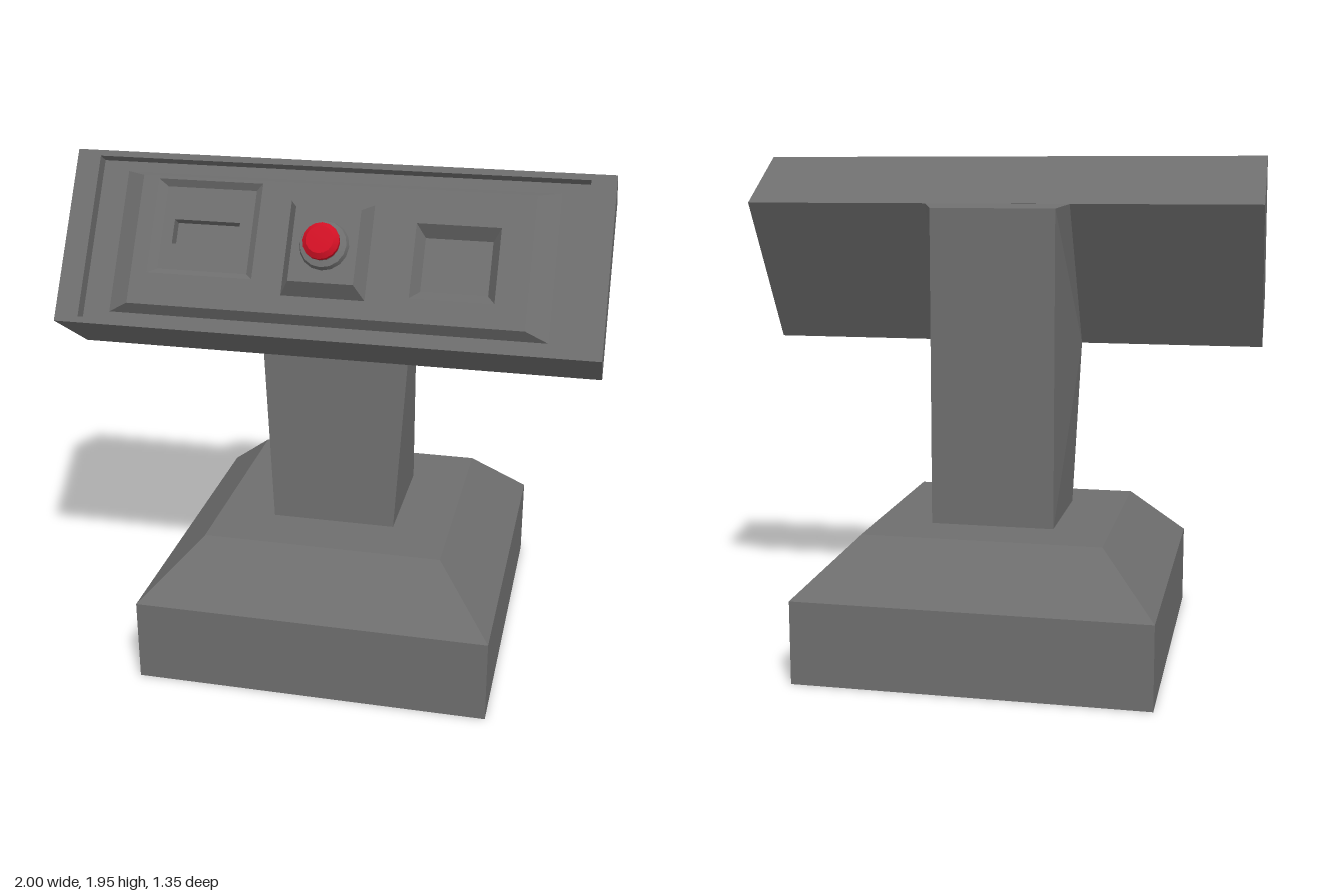
import * as THREE from 'three';
import { toCreasedNormals } from 'three/addons/utils/BufferGeometryUtils.js';

const grey = new THREE.MeshStandardMaterial({ color: 0x6e6e6e });
grey.name = 'grey metal';
const red = new THREE.MeshStandardMaterial({ color: 0xd01024 });
red.name = 'button red';

const corners = ([x0, x1, y0, y1]) => [[x0, y0], [x1, y0], [x1, y1], [x0, y1]];
const path = (points) => points.map((p) => new THREE.Vector2(...p));

// Joins rectangles [x0, x1, y0, y1, z] one after another, then caps the last.
// Holes are rectangles cut from the end cap; closed adds a cap on the first.
function loft(rings, holes = [], closed = false) {
  const pos = [];
  const cap = (ring, cuts, flip) => {
    const shape = new THREE.Shape(path(corners(ring)));
    cuts.forEach((h) => shape.holes.push(new THREE.Path(path(corners(h)))));
    const p = new THREE.ShapeGeometry(shape).toNonIndexed().getAttribute('position');
    for (let k = 0; k < p.count; k++) {
      const i = flip ? p.count - 1 - k : k;
      pos.push(p.getX(i), p.getY(i), ring[4]);
    }
  };
  for (let r = 0; r + 1 < rings.length; r++) {
    const a = corners(rings[r]).map((p) => [...p, rings[r][4]]);
    const b = corners(rings[r + 1]).map((p) => [...p, rings[r + 1][4]]);
    for (let i = 0; i < 4; i++) {
      const j = (i + 1) % 4;
      pos.push(...a[i], ...a[j], ...b[j], ...a[i], ...b[j], ...b[i]);
    }
  }
  cap(rings[rings.length - 1], holes, false);
  if (closed) cap(rings[0], [], true);
  const geo = new THREE.BufferGeometry();
  geo.setAttribute('position', new THREE.Float32BufferAttribute(pos, 3));
  geo.computeVertexNormals();
  return geo;
}

const centred = (w, h, z) => [-w, w, -h, h, z];

function add(parent, name, geo, mat = grey) {
  const mesh = new THREE.Mesh(geo, mat);
  mesh.name = name;
  parent.add(mesh);
  return mesh;
}

// Round part turned about the button axis
function turned(points) {
  const geo = new THREE.LatheGeometry(path(points), 16).rotateX(Math.PI / 2);
  return toCreasedNormals(geo, 0.5);
}

export function createModel() {
  const model = new THREE.Group();
  model.name = 'controlConsole';

  // Square base with a sloped shoulder
  add(model, 'base', loft([
    centred(0.675, 0.675, 0), centred(0.675, 0.675, 0.32), centred(0.46, 0.46, 0.53),
  ], [], true).rotateX(-Math.PI / 2));

  // Stem: side profile (z, y), flared towards the head
  const profile = [[0.238, 0.53], [-0.237, 0.53], [-0.237, 1.75], [-0.15, 1.765], [0.2, 1.2]];
  const stem = new THREE.ExtrudeGeometry(new THREE.Shape(path(profile)), { depth: 1, bevelEnabled: false });
  stem.translate(0, 0, -0.5).rotateY(-Math.PI / 2);
  const p = stem.getAttribute('position');
  for (let i = 0; i < p.count; i++) {
    const wide = p.getY(i) > 1.1 && p.getZ(i) > -0.2;
    p.setX(i, Math.sign(p.getX(i)) * (wide ? 0.28 : 0.24));
  }
  stem.computeVertexNormals();
  add(model, 'stem', stem);

  // Tilted head; local z points out of the control face
  const head = new THREE.Group();
  head.name = 'head';
  head.position.set(0, 1.6625, 0.315);
  head.rotation.x = -0.555;
  model.add(head);

  const screen = [-0.67, -0.27, -0.125, 0.235, -0.003];
  const screenFloor = [-0.637, -0.297, -0.103, 0.213, -0.025];
  const slot = [-0.595, -0.345, -0.005, 0.088, -0.025];
  const tray = [0.312, 0.615, -0.155, 0.12, -0.003];

  // Case, sunken frame and raised bevelled panel
  add(head, 'case', loft([
    centred(1, 0.3325, -0.341), centred(1, 0.3325, 0),
    centred(0.91, 0.31, 0), centred(0.91, 0.31, -0.05),
    centred(0.81, 0.272, -0.05), centred(0.73, 0.245, -0.003),
  ], [screen, tray], true));

  // Pockets in the panel
  add(head, 'slotPocket', loft([screen, screenFloor], [slot]));
  add(head, 'slot', loft([slot, [...slot.slice(0, 4), -0.072]]));
  add(head, 'trayPocket', loft([tray, [0.342, 0.585, -0.117, 0.082, -0.056]]));

  // Button block, collar and cap
  add(head, 'buttonBlock', loft([centred(0.155, 0.177, -0.003), centred(0.12, 0.137, 0.06)]));
  add(head, 'buttonCollar', turned([[0.092, 0.058], [0.085, 0.08], [0.062, 0.085], [0.05, 0.105]]));
  add(head, 'buttonCap', turned([
    [0, 0.097], [0.052, 0.097], [0.067, 0.107], [0.067, 0.123], [0.05, 0.139], [0, 0.142],
  ]), red);

  return model;
}
